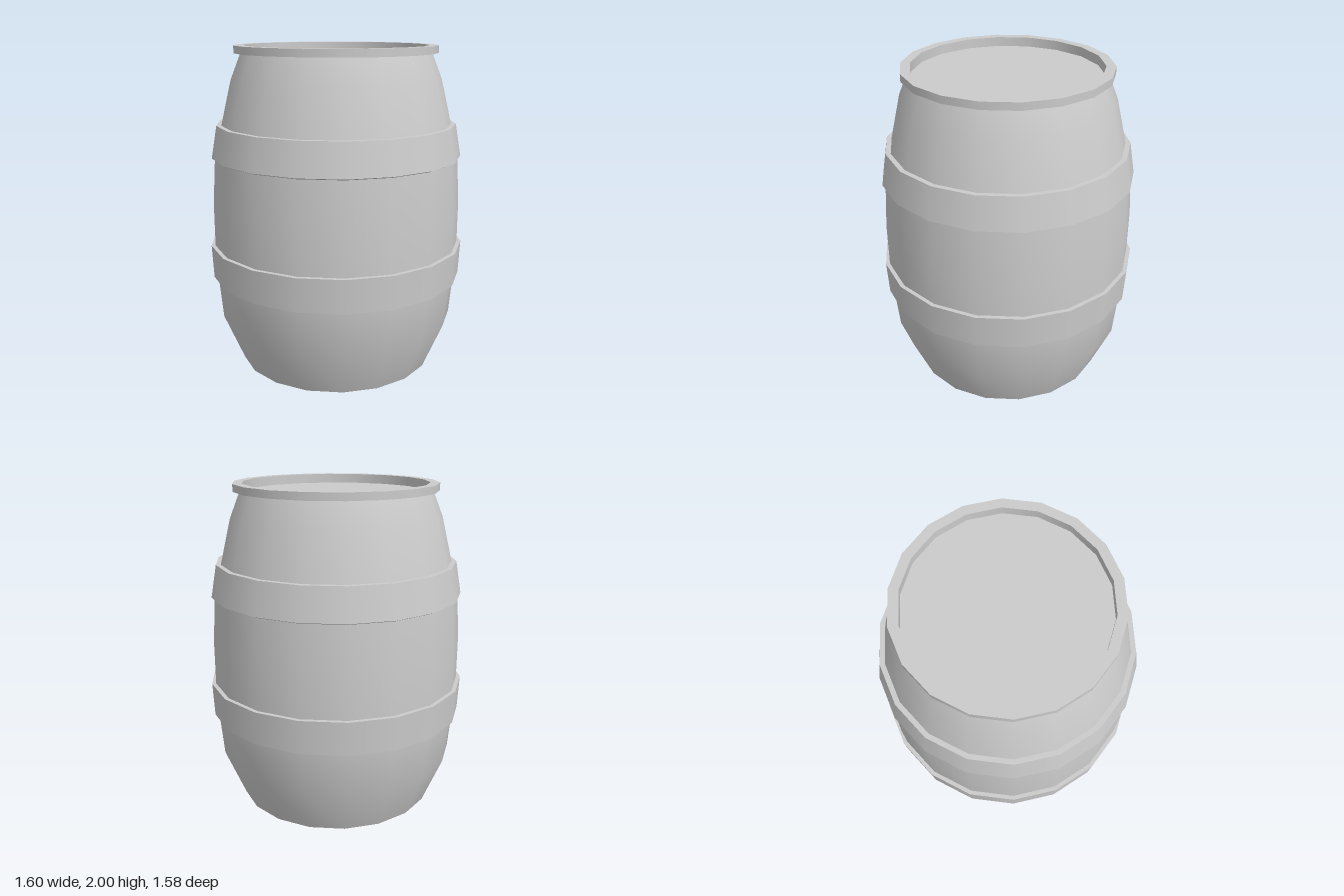
import * as THREE from 'three';

const SIDES = 18;

// Revolves one smooth run of [radius, y] points; separate runs meet in sharp edges.
function revolve(points, material) {
  const profile = points.map(([r, y]) => new THREE.Vector2(r, y));
  return new THREE.Mesh(new THREE.LatheGeometry(profile, SIDES, Math.PI / 2), material);
}

export function createModel() {
  const material = new THREE.MeshStandardMaterial({ color: 0xcccccc });
  const barrel = new THREE.Group();
  barrel.name = 'barrel';

  function addPart(name, runs) {
    const part = new THREE.Group();
    part.name = name;
    runs.forEach((run) => part.add(revolve(run, material)));
    barrel.add(part);
  }

  // Base ring with a recessed bottom
  addPart('recessedBase', [
    [[0, 0.11], [0.485, 0.11]],
    [[0.485, 0.11], [0.485, 0]],
    [[0.485, 0], [0.615, 0]],
  ]);

  // Bulging wall, in the three stretches between the hoops
  addPart('lowerWall', [[[0.615, 0], [0.74, 0.3], [0.765, 0.573]]]);
  addPart('middleWall', [[[0.775, 0.78], [0.775, 1.05], [0.757, 1.325]]]);
  addPart('upperWall', [[[0.71, 1.53], [0.645, 1.8], [0.583, 1.955]]]);

  // Hoops: underside, band, top ledge
  addPart('lowerHoop', [
    [[0.765, 0.573], [0.79, 0.573]],
    [[0.79, 0.573], [0.8, 0.78]],
    [[0.8, 0.78], [0.775, 0.78]],
  ]);
  addPart('upperHoop', [
    [[0.757, 1.325], [0.775, 1.333]],
    [[0.775, 1.333], [0.74, 1.53]],
    [[0.74, 1.53], [0.71, 1.53]],
  ]);

  // Top rim around the sunken lid
  addPart('topRim', [
    [[0.583, 1.955], [0.622, 1.955]],
    [[0.622, 1.955], [0.622, 2]],
    [[0.622, 2], [0.565, 2]],
    [[0.565, 2], [0.565, 1.943]],
  ]);
  addPart('lid', [[[0.565, 1.943], [0, 1.943]]]);

  return barrel;
}
